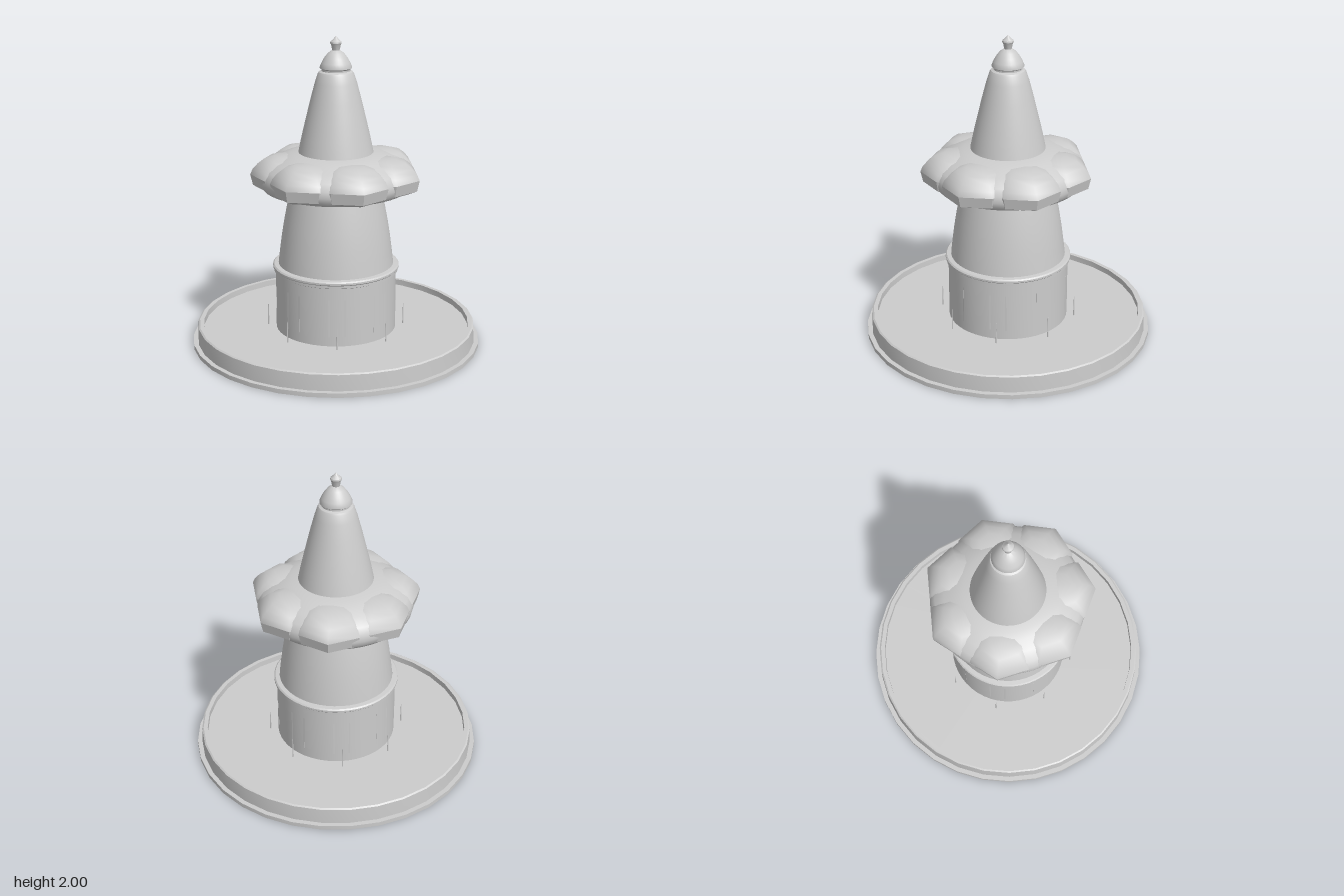
import * as THREE from 'three';
import { toCreasedNormals } from 'three/addons/utils/BufferGeometryUtils.js';

export function createModel() {
  const root = new THREE.Group();
  const stone = new THREE.MeshStandardMaterial({ color: 0xcccccc, side: THREE.DoubleSide });
  stone.name = 'pale stone';

  const add = (name, geometry, parent = root) => {
    const mesh = new THREE.Mesh(geometry, stone);
    mesh.name = name;
    parent.add(mesh);
    return mesh;
  };
  // Turned part from [radius, height] pairs, listed bottom to top
  const turned = (points, sides, crease = 0.5) => toCreasedNormals(
    new THREE.LatheGeometry(points.map(([r, y]) => new THREE.Vector2(r, y)), sides), crease);

  // Round basin: underside with a central opening, hollow foot, wall, rim and shallow floor
  add('basin', turned([
    [0.39, 0.045], [0.87, 0.045], [0.885, 0.025], [0.915, 0.02], [0.92, 0.005],
    [0.932, 0.005], [0.932, 0.033], [0.902, 0.033], [0.898, 0.135], [0.888, 0.142],
    [0.861, 0.142], [0.86, 0.103], [0.385, 0.103],
  ], 32));

  // Hollow drum with its moulding
  add('drum', turned([[0.388, 0.045], [0.388, 0.49]], 48));
  add('drumMoulding', turned([
    [0.386, 0.485], [0.4, 0.492], [0.4, 0.508], [0.406, 0.514], [0.406, 0.526],
    [0.398, 0.534], [0.37, 0.537],
  ], 48));

  // Eight flat panels on the drum, each with a thin water jet before it
  for (let i = 0; i < 8; i++) {
    const bay = new THREE.Group();
    bay.name = 'drumBay';
    bay.rotation.y = Math.PI / 8 + i * Math.PI / 4;
    root.add(bay);
    add('panel', new THREE.BoxGeometry(0.108, 0.245, 0.007), bay).position.set(0, 0.287, 0.3815);
    add('jet', new THREE.CylinderGeometry(0.002, 0.005, 0.14, 6), bay).position.set(0, 0.172, 0.44);
  }

  // Tapering shaft
  add('shaft', turned([
    [0.37, 0.535], [0.36, 0.62], [0.347, 0.72], [0.331, 0.82], [0.312, 0.92], [0.29, 1.025],
  ], 48));

  // Bulging collar
  add('collar', turned([
    [0.285, 1.018], [0.42, 1.025], [0.465, 1.04], [0.485, 1.065], [0.492, 1.095],
    [0.488, 1.135], [0.46, 1.178], [0.4, 1.217], [0.33, 1.247], [0.28, 1.262], [0.23, 1.27],
  ], 48, 0.8));

  // Seven faceted lobes around the collar, a corner of each pointing outward
  const dome = turned([
    [0.236, 1.13], [0.22, 1.165], [0.188, 1.2], [0.145, 1.232], [0.085, 1.25], [0, 1.255],
  ], 7, 1.2);
  const underside = turned([[0, 1.035], [0.17, 1.038], [0.22, 1.06], [0.236, 1.13]], 7, 0.1);
  for (let i = 0; i < 7; i++) {
    const lobe = new THREE.Group();
    lobe.name = 'lobe';
    const a = Math.PI / 2 + i * 2 * Math.PI / 7;
    lobe.rotation.y = a;
    lobe.position.set(0.008 + 0.314 * Math.sin(a), 0, 0.314 * Math.cos(a));
    root.add(lobe);
    add('lobeDome', dome, lobe);
    add('lobeUnderside', underside, lobe);
  }

  // Spire, cap and finial
  add('spire', turned([
    [0.238, 1.265], [0.216, 1.37], [0.19, 1.48], [0.161, 1.6], [0.132, 1.71],
    [0.114, 1.765], [0.106, 1.778], [0.09, 1.785],
  ], 48));
  add('cap', turned([
    [0.09, 1.78], [0.09, 1.795], [0.101, 1.803], [0.101, 1.809], [0.09, 1.835], [0.074, 1.864],
    [0.052, 1.893], [0.028, 1.911], [0, 1.92],
  ], 32));
  add('finial', turned([
    [0.023, 1.912], [0.03, 1.945], [0.036, 1.957], [0.034, 1.966],
    [0.016, 1.982], [0.007, 1.994], [0, 2],
  ], 16));

  // Plain plate set in the opening beneath
  add('basePlate', new THREE.BoxGeometry(0.4, 0.008, 0.4)).position.set(0.02, 0.035, -0.015);

  return root;
}
